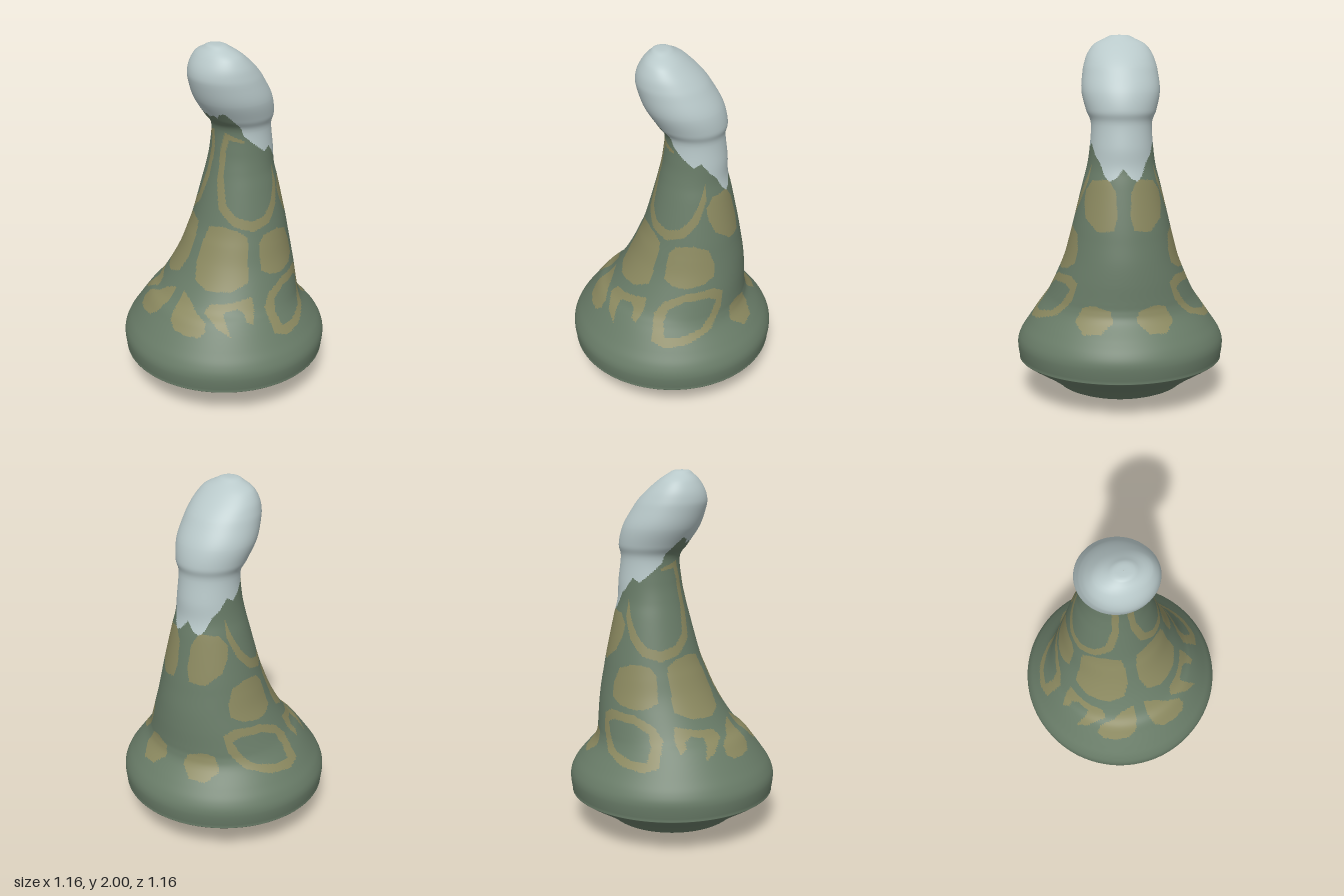
import * as THREE from 'three';

// Horizontal sections: height, right edge x, left edge x, half depth z
const SECTIONS = [
  [0, -0.2, 0.2, 0.2], [0.02, -0.265, 0.265, 0.265], [0.05, -0.34, 0.34, 0.34],
  [0.07, -0.365, 0.365, 0.365], [0.12, -0.435, 0.435, 0.435], [0.2, -0.56, 0.56, 0.56],
  [0.22, -0.572, 0.572, 0.572], [0.3, -0.58, 0.58, 0.58], [0.36, -0.56, 0.56, 0.56],
  [0.42, -0.52, 0.515, 0.52], [0.5, -0.46, 0.445, 0.465], [0.55, -0.42, 0.425, 0.43],
  [0.6, -0.36, 0.42, 0.4], [0.7, -0.29, 0.415, 0.355], [0.8, -0.235, 0.405, 0.315],
  [0.9, -0.19, 0.388, 0.287], [1, -0.15, 0.37, 0.262], [1.2, -0.095, 0.328, 0.213],
  [1.3, -0.07, 0.305, 0.187], [1.4, -0.05, 0.3, 0.172], [1.53, -0.04, 0.285, 0.165],
  [1.6, -0.085, 0.295, 0.19], [1.7, -0.15, 0.27, 0.213], [1.8, -0.185, 0.212, 0.206],
  [1.85, -0.19, 0.175, 0.196], [1.9, -0.176, 0.125, 0.178], [1.95, -0.145, 0.065, 0.142],
  [1.98, -0.115, 0.02, 0.085], [1.997, -0.095, -0.01, 0.05], [2, -0.055, -0.053, 0.001],
];

// Lower edge of the pale top: angle from the left side in degrees, height
const EDGE = [[0, 1.3], [12, 1.25], [22, 1.235], [30, 1.26], [42, 1.33], [57, 1.37], [72, 1.43],
  [85, 1.405], [103, 1.447], [128, 1.51], [132, 1.56], [138, 1.595], [148, 1.65], [158, 1.64],
  [165, 1.61], [172, 1.63], [180, 1.61]];

// Patch outlines, mirrored front to back. Drawn on the front plane (x, y) ...
const FRONT = [
  { // rounded patch
    outline: [[0.02, 0.92], [0.06, 0.965], [0.155, 0.975], [0.235, 0.945], [0.267, 0.865], [0.272, 0.79],
      [0.22, 0.755], [0.125, 0.738], [0.05, 0.75], [0, 0.78], [0.01, 0.84]],
  },
  { // open ring
    outline: [[-0.045, 0.6], [0.01, 0.665], [0.125, 0.712], [0.27, 0.722], [0.32, 0.69], [0.315, 0.6],
      [0.272, 0.505], [0.167, 0.463], [0.035, 0.447], [-0.045, 0.474]],
    hole: [[0.013, 0.563], [0.035, 0.627], [0.125, 0.67], [0.246, 0.675], [0.288, 0.653], [0.262, 0.574],
      [0.22, 0.521], [0.114, 0.495], [0.024, 0.495]],
  },
  { // small arch
    outline: [[-0.278, 0.495], [-0.315, 0.53], [-0.32, 0.585], [-0.278, 0.627], [-0.204, 0.638],
      [-0.093, 0.664], [-0.103, 0.6], [-0.145, 0.537], [-0.172, 0.553], [-0.161, 0.59], [-0.183, 0.611],
      [-0.246, 0.595], [-0.267, 0.563]],
  },
];
// ... on the left plane (z, y) ...
const SIDE = [
  { outline: [[0.195, 1.18], [0.16, 1.235], [0.077, 1.245], [0.04, 1.18], [0.034, 1.05], [0.055, 0.98],
    [0.14, 0.97], [0.2, 1.035], [0.205, 1.115]] },
  { outline: [[0.26, 0.495], [0.22, 0.57], [0.167, 0.585], [0.077, 0.56], [0.06, 0.505], [0.13, 0.45],
    [0.22, 0.443]] },
];
// ... from above (x, z) ...
const TOP = [
  { outline: [[-0.32, 0.03], [-0.4, 0.04], [-0.44, 0.06], [-0.455, 0.11], [-0.44, 0.185], [-0.405, 0.25],
    [-0.37, 0.272], [-0.345, 0.25], [-0.345, 0.17], [-0.33, 0.11]] },
];
// ... or unrolled (angle, y)
const UNROLLED = [
  { outline: [[120, 0.96], [119, 0.865], [117, 0.733], [132, 0.69], [154, 0.685], [168, 0.72], [173, 0.8],
    [174, 0.9], [170, 1], [152, 1.015], [132, 0.995]] },
  { // long loop
    outline: [[63, 1.32], [63, 1.22], [75, 1.1], [92, 1.02], [114, 0.99], [138, 1.02], [160, 1.1],
      [170, 1.25], [172, 1.42], [165, 1.52], [125, 1.48], [125, 1.465], [155, 1.48], [160, 1.42],
      [159, 1.28], [150, 1.13], [135, 1.07], [115, 1.045], [98, 1.065], [84, 1.13], [71, 1.23]],
  },
];

function inside(polygon, x, y) {
  let hit = false;
  polygon.forEach(([x1, y1], i) => {
    const [x2, y2] = polygon[(i + 1) % polygon.length];
    if ((y1 > y) !== (y2 > y) && x < x1 + (x2 - x1) * (y - y1) / (y2 - y1)) hit = !hit;
  });
  return hit;
}
const covers = (list, x, y) =>
  list.some((p) => inside(p.outline, x, y) && !(p.hole && inside(p.hole, x, y)));

function edgeHeight(angle) {
  const i = Math.max(1, EDGE.findIndex((e) => e[0] >= angle));
  const [a, h] = EDGE[i - 1], [b, k] = EDGE[i];
  return h + (k - h) * (angle - a) / (b - a);
}

// Which part a point of the skin belongs to
function partAt(x, y, z, angle, centre) {
  if (y > 1.2 && y > edgeHeight(angle)) return 'paleTop';
  if (y < 0.42) return 'body';
  const d = Math.abs(z);
  const painted = covers(FRONT, x, y) || covers(UNROLLED, angle, y) ||
    (x > centre && covers(SIDE, d, y)) || (x < centre && covers(TOP, x, d));
  return painted ? 'patches' : 'body';
}

export function createModel() {
  const group = new THREE.Group();
  const material = (name, color) => Object.assign(new THREE.MeshStandardMaterial({ color }), { name });
  const materials = {
    body: material('moss green', 0x687b67),
    patches: material('olive', 0x8a885f),
    paleTop: material('pale grey', 0xb9c9ca),
  };

  // Smooth rows between the sections, finest where the patches lie
  const curve = new THREE.CubicInterpolant(SECTIONS.map((s, i) => i), SECTIONS.flat(), 4, new Float32Array(4));
  const rows = [];
  for (let i = 0; i < SECTIONS.length - 1; i++) {
    const low = SECTIONS[i][0], gap = SECTIONS[i + 1][0] - low;
    const steps = Math.max(3, Math.ceil(gap / (low > 0.4 && low < 1.65 ? 0.0075 : 0.013)));
    for (let k = 0; k < steps; k++) rows.push([...curve.evaluate(i + k / steps)]);
  }
  rows.push(SECTIONS[SECTIONS.length - 1]);

  // One skin of rings
  const N = 224, positions = [];
  for (const [y, x1, x2, depth] of rows) {
    for (let j = 0; j < N; j++) {
      const a = j / N * Math.PI * 2;
      positions.push((x1 + x2) / 2 + (x2 - x1) / 2 * Math.cos(a), y, depth * Math.sin(a));
    }
  }
  const faces = { body: [], patches: [], paleTop: [] };
  const all = [];
  for (let i = 0; i < rows.length - 1; i++) {
    const centre = (rows[i][1] + rows[i][2]) / 2;
    for (let j = 0; j < N; j++) {
      const a = i * N + j, d = i * N + (j + 1) % N, b = a + N, c = d + N;
      const turn = (j + 0.5) / N * 360, angle = Math.min(turn, 360 - turn);
      for (const tri of [[a, b, c], [a, c, d]]) {
        const [x, y, z] = [0, 1, 2].map((k) => tri.reduce((s, v) => s + positions[v * 3 + k], 0) / 3);
        faces[partAt(x, y, z, angle, centre)].push(...tri);
        all.push(...tri);
      }
    }
  }

  // Shared vertices and normals, one mesh for each colour
  const skin = new THREE.BufferGeometry();
  skin.setAttribute('position', new THREE.Float32BufferAttribute(positions, 3));
  skin.setIndex(all);
  skin.computeVertexNormals();
  for (const name of Object.keys(faces)) {
    const geometry = new THREE.BufferGeometry();
    geometry.setAttribute('position', skin.attributes.position);
    geometry.setAttribute('normal', skin.attributes.normal);
    geometry.setIndex(faces[name]);
    const mesh = new THREE.Mesh(geometry, materials[name]);
    mesh.name = name;
    group.add(mesh);
  }

  // Flat underside
  const underside = new THREE.Mesh(new THREE.CircleGeometry(0.2, 64).rotateX(Math.PI / 2), materials.body);
  underside.name = 'underside';
  group.add(underside);
  return group;
}
